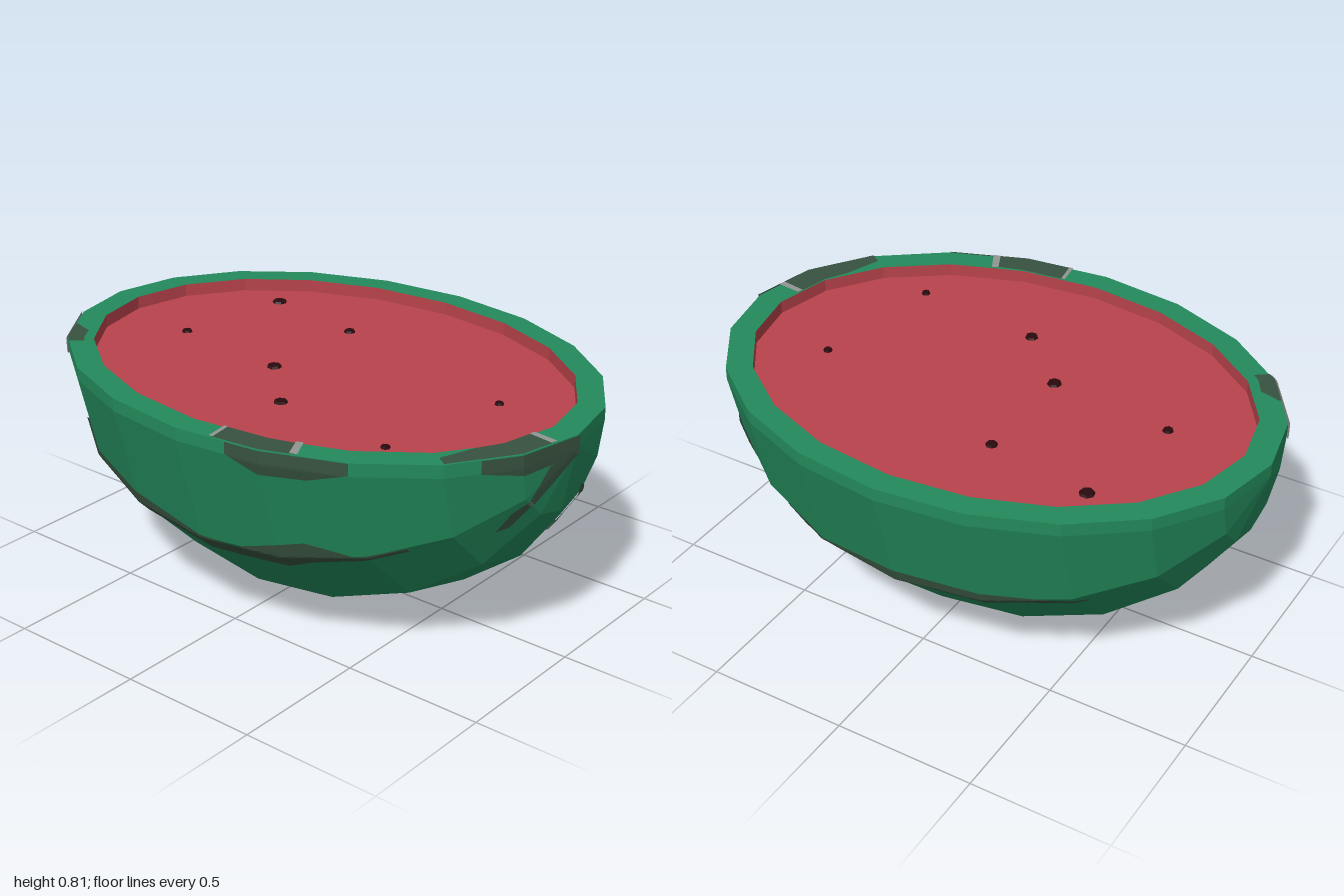
import * as THREE from 'three';

const R = 0.755, TOP = 0.8, IN_X = 0.907, IN_Z = 0.668;
const material = (name, color, side = THREE.FrontSide) => {
  const m = new THREE.MeshStandardMaterial({ color, side, flatShading: true });
  m.name = name;
  return m;
};

// sine of an angle given its cosine, measured on a polygon with the given step
function chord(c, step) {
  const a = Math.acos(Math.min(1, Math.max(0, c)));
  const k = Math.min(Math.floor(a / step + 1e-9), Math.round(Math.PI / 2 / step) - 1);
  const c0 = Math.cos(k * step), c1 = Math.cos((k + 1) * step);
  const t = (c0 - Math.cos(a)) / (c0 - c1);
  return THREE.MathUtils.lerp(Math.sin(k * step), Math.sin((k + 1) * step), t);
}
const outlineZ = x => R * chord(Math.abs(x), Math.PI / 10);

// projections onto the faceted rind: along z (front or back) and along +x
const alongZ = sign => (x, y) => {
  const r = Math.max(outlineZ(x), 1e-5);
  return [x, y, sign * r * chord((R - y) / r, Math.PI / 6)];
};
const alongX = (z, y) => {
  const step = Math.PI / 6, t = Math.atan2(Math.abs(z), R - y);
  const a = (t % step) - step / 2;
  const rho = Math.hypot(z, R - y) * Math.cos(a) / Math.cos(step / 2) / R;
  return [chord(rho, Math.PI / 10), y, z];
};
// flat rim: x along the outline, f from inner (0) to outer (1) edge
const onRim = lift => (x, f) => [
  x * THREE.MathUtils.lerp(IN_X, 1, f), TOP + lift,
  outlineZ(x) * THREE.MathUtils.lerp(IN_Z / R, 1, f)];

// thin patch that follows the surface; each row is an edge pair [a0, b0, a1, b1]
function ribbon(rows, map, grow = 1.007) {
  const pos = [], idx = [], N = 10, M = 8;
  const count = (rows.length - 1) * N;
  for (let i = 0; i <= count; i++) {
    const k = Math.min(Math.floor(i / N), rows.length - 2), t = i / N - k;
    const e = rows[k].map((v, j) => THREE.MathUtils.lerp(v, rows[k + 1][j], t));
    for (let j = 0; j <= M; j++) {
      const s = j / M;
      const [x, y, z] = map(e[0] + (e[2] - e[0]) * s, e[1] + (e[3] - e[1]) * s);
      pos.push(x * grow, R + (y - R) * grow, z * grow);
      if (i < count && j < M) {
        const p = i * (M + 1) + j, q = p + M + 1;
        idx.push(p, q, p + 1, p + 1, q, q + 1);
      }
    }
  }
  const g = new THREE.BufferGeometry();
  g.setAttribute('position', new THREE.Float32BufferAttribute(pos, 3));
  g.setIndex(idx);
  g.computeVertexNormals();
  return g;
}
const bands = rows => rows.map(([x, lo, hi]) => [x, lo, x, hi]);

export function createModel() {
  const group = new THREE.Group();
  const green = material('rind green', 0x238a5b);
  const red = material('flesh red', 0xb8434b, THREE.DoubleSide);
  const dark = material('stripe dark green', 0x38523f, THREE.DoubleSide);
  const grey = material('pale grey', 0x929692, THREE.DoubleSide);
  const black = material('seed black', 0x2a0a0e);
  const add = (name, geometry, mat) => {
    const mesh = new THREE.Mesh(geometry, mat);
    mesh.name = name;
    group.add(mesh);
    return mesh;
  };

  // half-melon rind with its poles on the x axis
  const bowl = new THREE.SphereGeometry(1, 6, 10, 0, Math.PI);
  bowl.rotateZ(-Math.PI / 2).rotateX(Math.PI / 2).scale(1, R, R).translate(0, R, 0);
  add('rind', bowl, green);

  // straight bands at the cut, outside and inside
  const band = (sx, sz) => {
    const g = new THREE.CylinderGeometry(1, 1, TOP - R, 20, 1, true);
    return g.scale(sx, 1, sz).translate(0, (TOP + R) / 2, 0);
  };
  add('rindEdge', band(1, R), green);
  add('fleshWall', band(IN_X, IN_Z), red);

  // flat rim ring
  const oval = (sx, sz) => Array.from({ length: 20 }, (_, i) =>
    new THREE.Vector2(sx * Math.cos(i * Math.PI / 10), sz * Math.sin(i * Math.PI / 10)));
  const ring = new THREE.Shape(oval(1, R));
  ring.holes.push(new THREE.Path(oval(IN_X, IN_Z)));
  add('rim', new THREE.ShapeGeometry(ring).rotateX(-Math.PI / 2).translate(0, TOP, 0), green);

  // recessed flesh
  const flesh = new THREE.ShapeGeometry(new THREE.Shape(oval(IN_X, IN_Z)));
  add('flesh', flesh.rotateX(-Math.PI / 2).translate(0, R, 0), red);

  // seeds: x, z, radius
  [[-0.55, -0.38, 0.027], [-0.16, -0.31, 0.021], [0.62, -0.12, 0.016], [-0.61, 0.055, 0.019],
    [-0.155, 0.105, 0.026], [0.06, 0.32, 0.024], [0.54, 0.38, 0.016]].forEach(([x, z, r], i) => {
    const seed = add('seed', new THREE.CylinderGeometry(r * 0.85, r, 0.008, 7), black);
    seed.position.set(x, R + 0.004, z);
    seed.rotation.y = i;
  });

  // long stripes on the front, back and underside
  add('frontStripe', ribbon(bands([[-0.75, 0.5, 0.515], [-0.55, 0.405, 0.475], [-0.31, 0.345, 0.44],
    [0, 0.32, 0.39], [0.14, 0.325, 0.385], [0.31, 0.345, 0.445], [0.4, 0.385, 0.47],
    [0.55, 0.425, 0.445], [0.69, 0.475, 0.49]]), alongZ(1)), dark);
  add('backStripe', ribbon(bands([[0.5, 0.325, 0.42], [0.31, 0.32, 0.405], [0, 0.37, 0.42],
    [-0.31, 0.37, 0.43], [-0.62, 0.43, 0.44]]), alongZ(-1)), dark);
  add('bottomStripe', ribbon(bands([[-0.55, 0.135, 0.145], [-0.31, 0.062, 0.08],
    [-0.15, 0.045, 0.06], [0.02, 0.038, 0.043]]), alongZ(1)), dark);

  // stripes on the left end
  add('endStripe', ribbon([[-0.085, 0.59, -0.115, 0.575], [-0.1, 0.42, -0.13, 0.45],
    [-0.165, 0.33, -0.22, 0.345], [-0.185, 0.23, -0.24, 0.29], [-0.17, 0.16, -0.235, 0.18]],
  alongX), dark);
  add('backStripeStart', ribbon([[-0.3, 0.58, -0.36, 0.59], [-0.355, 0.49, -0.42, 0.52],
    [-0.43, 0.325, -0.49, 0.42]], alongX), dark);
  add('backStripeBend', ribbon([[-0.43, 0.325, -0.44, 0.45], [-0.5, 0.32, -0.5, 0.41],
    [-0.57, 0.325, -0.56, 0.4]], alongX), dark);
  add('rimStripeTail', ribbon([[0.12, 0.73, 0, 0.74], [0.19, 0.63, 0.1, 0.66],
    [0.23, 0.59, 0.18, 0.6], [0.25, 0.52, 0.21, 0.53]], alongX), dark);

  // patches that fold over the rim
  add('frontRimPatch', ribbon(bands([[0.19, 0.76, TOP], [0.3, 0.715, TOP], [0.45, 0.72, TOP],
    [0.58, 0.76, TOP]]), alongZ(1)), dark);
  add('leftRimPatch', ribbon(bands([[0.875, 0.755, TOP], [0.951, 0.73, TOP], [1, 0.735, TOP]]),
    alongZ(1)), dark);
  add('rightRimPatch', ribbon(bands([[-0.95, 0.74, TOP], [-0.87, 0.715, TOP], [-0.78, 0.755, TOP]]),
    alongZ(1)), grey);
  add('frontRimTop', ribbon(bands([[0.14, 0, 1], [0.309, 0, 1], [0.42, 0.1, 1]]), onRim(0.004), 1), dark);
  add('leftRimTop', ribbon(bands([[0.81, 0.5, 1], [0.89, 0.1, 1], [0.951, 0, 1], [0.98, 0, 1]]),
    onRim(0.004), 1), dark);
  add('rightRimTop', ribbon(bands([[-0.88, 0.9, 1], [-0.85, 0.35, 1], [-0.78, 0.4, 1]]),
    onRim(0.004), 1), dark);
  [[0.13, 0.145], [0.405, 0.43], [0.976, 0.981]].forEach(([a, b]) =>
    add('rimPatchEdge', ribbon(bands([[a, 0, 1], [b, 0, 1]]), onRim(0.006), 1), grey));

  return group;
}
